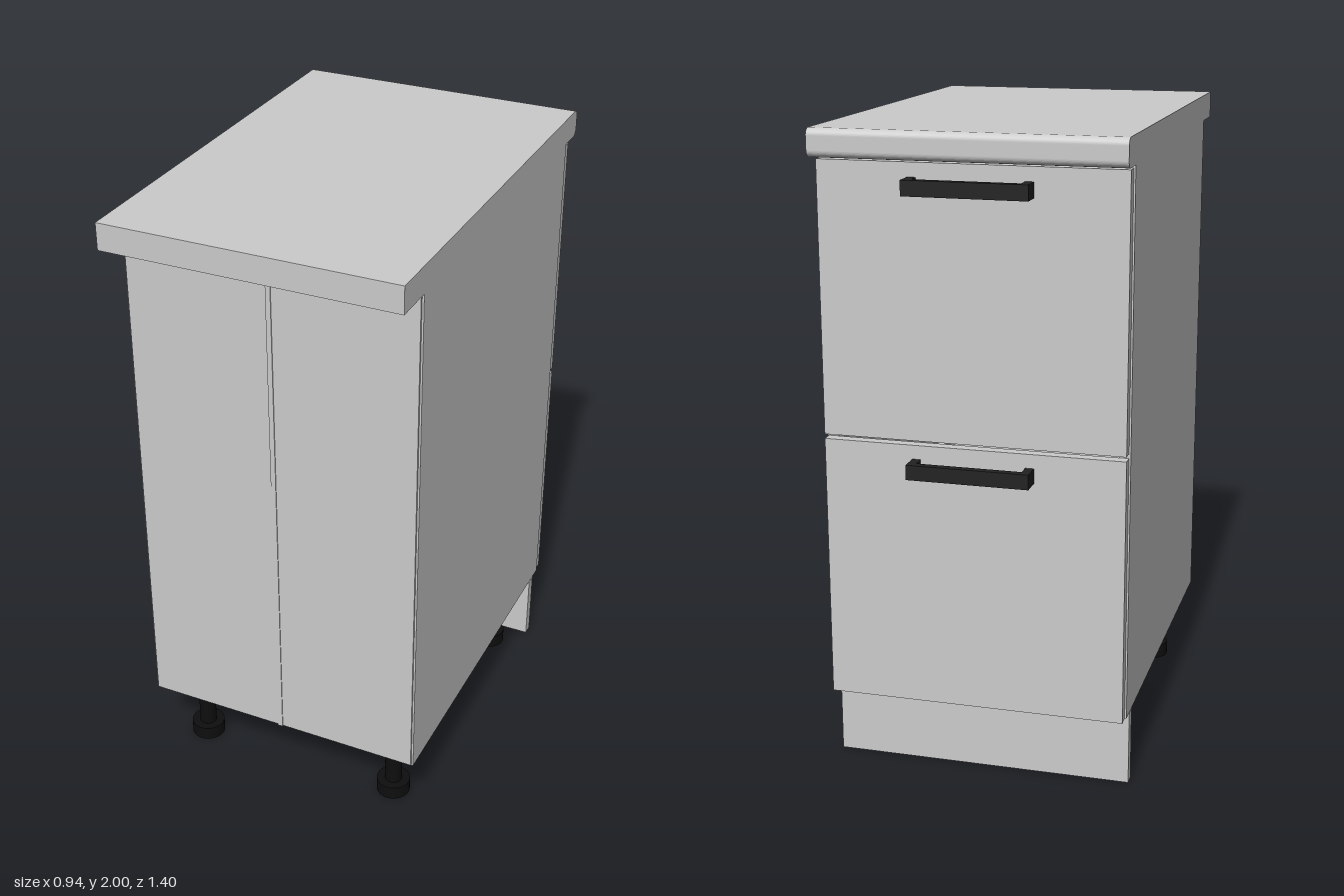
import * as THREE from 'three';

const grey = new THREE.MeshStandardMaterial({ color: 0xcccccc });
const handleBlack = new THREE.MeshStandardMaterial({ color: 0x222222 });
const legBlack = new THREE.MeshStandardMaterial({ color: 0x0e0e0e });

// Box given by its extents on each axis
function box(name, [x0, x1], [y0, y1], [z0, z1], material = grey) {
  const mesh = new THREE.Mesh(new THREE.BoxGeometry(x1 - x0, y1 - y0, z1 - z0), material);
  mesh.position.set((x0 + x1) / 2, (y0 + y1) / 2, (z0 + z1) / 2);
  mesh.name = name;
  return mesh;
}

// Worktop: side profile with a rounded edge over the drawers, extruded along x
function createWorktop() {
  const r = 0.022, y0 = 1.915, y1 = 2, back = 0.7, edge = -0.695;
  const s = new THREE.Shape();
  s.moveTo(-back, y0);
  s.lineTo(-edge - r, y0);
  s.absarc(-edge - r, y0 + r, r, -Math.PI / 2, 0, false);
  s.lineTo(-edge, y1 - r);
  s.absarc(-edge - r, y1 - r, r, 0, Math.PI / 2, false);
  s.lineTo(-back, y1);
  s.closePath();
  const geo = new THREE.ExtrudeGeometry(s, { depth: 0.936, bevelEnabled: false, curveSegments: 10 });
  geo.translate(0, 0, -0.468);
  geo.rotateY(Math.PI / 2); // profile x becomes -z
  const mesh = new THREE.Mesh(geo, grey);
  mesh.name = 'worktop';
  return mesh;
}

// Bar handle: two posts and a grip
function createHandle(y) {
  const g = new THREE.Group();
  g.name = 'handle';
  const ys = [y - 0.023, y + 0.023];
  g.add(box('handleGrip', [-0.187, 0.187], ys, [-0.7, -0.676], handleBlack));
  for (const x of [-0.187, 0.161])
    g.add(box('handlePost', [x, x + 0.026], ys, [-0.676, -0.636], handleBlack));
  return g;
}

// Adjustable leg: foot, column, collar and mounting flange
function createLeg(x, z) {
  const g = new THREE.Group();
  g.name = 'leg';
  const parts = [
    ['legFoot', 0.055, 0, 0.046],
    ['legColumn', 0.028, 0.046, 0.182],
    ['legCollar', 0.055, 0.182, 0.226],
    ['legFlange', 0.068, 0.226, 0.239],
  ];
  for (const [name, r, y0, y1] of parts) {
    const mesh = new THREE.Mesh(new THREE.CylinderGeometry(r, r, y1 - y0, 32), legBlack);
    mesh.position.y = (y0 + y1) / 2;
    mesh.name = name;
    g.add(mesh);
  }
  g.position.set(x, 0, z);
  return g;
}

export function createModel() {
  const model = new THREE.Group();
  model.name = 'drawerCabinet';

  // Carcass
  const depth = [-0.6, 0.565];
  model.add(createWorktop());
  model.add(box('leftSide', [0.433, 0.468], [0.24, 1.915], depth));
  model.add(box('rightSide', [-0.468, -0.433], [0.24, 1.915], depth));
  model.add(box('bottom', [-0.433, 0.433], [0.24, 0.275], depth));
  model.add(box('frontRail', [-0.433, 0.433], [1.88, 1.915], [-0.6, -0.38]));
  model.add(box('backRail', [-0.433, 0.433], [1.88, 1.915], [0.345, 0.565]));

  // Thin split back and its joining strip
  model.add(box('backPanelLeft', [0.003, 0.462], [0.245, 1.91], [0.565, 0.572]));
  model.add(box('backPanelRight', [-0.462, -0.003], [0.245, 1.91], [0.565, 0.572]));
  model.add(box('backStrip', [-0.008, 0.008], [0.243, 1.912], [0.565, 0.575]));

  // Drawers: front, handle and open-topped box behind
  for (const [y0, y1] of [[0.24, 1.066], [1.08, 1.906]]) {
    const drawer = new THREE.Group();
    drawer.name = 'drawer';
    const wall = [y0 + 0.1, y0 + 0.55];
    drawer.add(box('drawerFront', [-0.463, 0.463], [y0, y1], [-0.637, -0.602]));
    drawer.add(box('drawerBase', [-0.4, 0.4], [y0 + 0.08, y0 + 0.1], [-0.602, 0.42]));
    drawer.add(box('drawerBack', [-0.4, 0.4], wall, [0.39, 0.42]));
    for (const x of [-0.4, 0.375])
      drawer.add(box('drawerSide', [x, x + 0.025], wall, [-0.602, 0.39]));
    drawer.add(createHandle(y1 - 0.066));
    model.add(drawer);
  }

  // Plinth and legs
  model.add(box('plinth', [-0.468, 0.468], [0.003, 0.238], [-0.556, -0.521]));
  for (const x of [-0.35, 0.35])
    for (const z of [-0.436, 0.445]) model.add(createLeg(x, z));

  return model;
}
